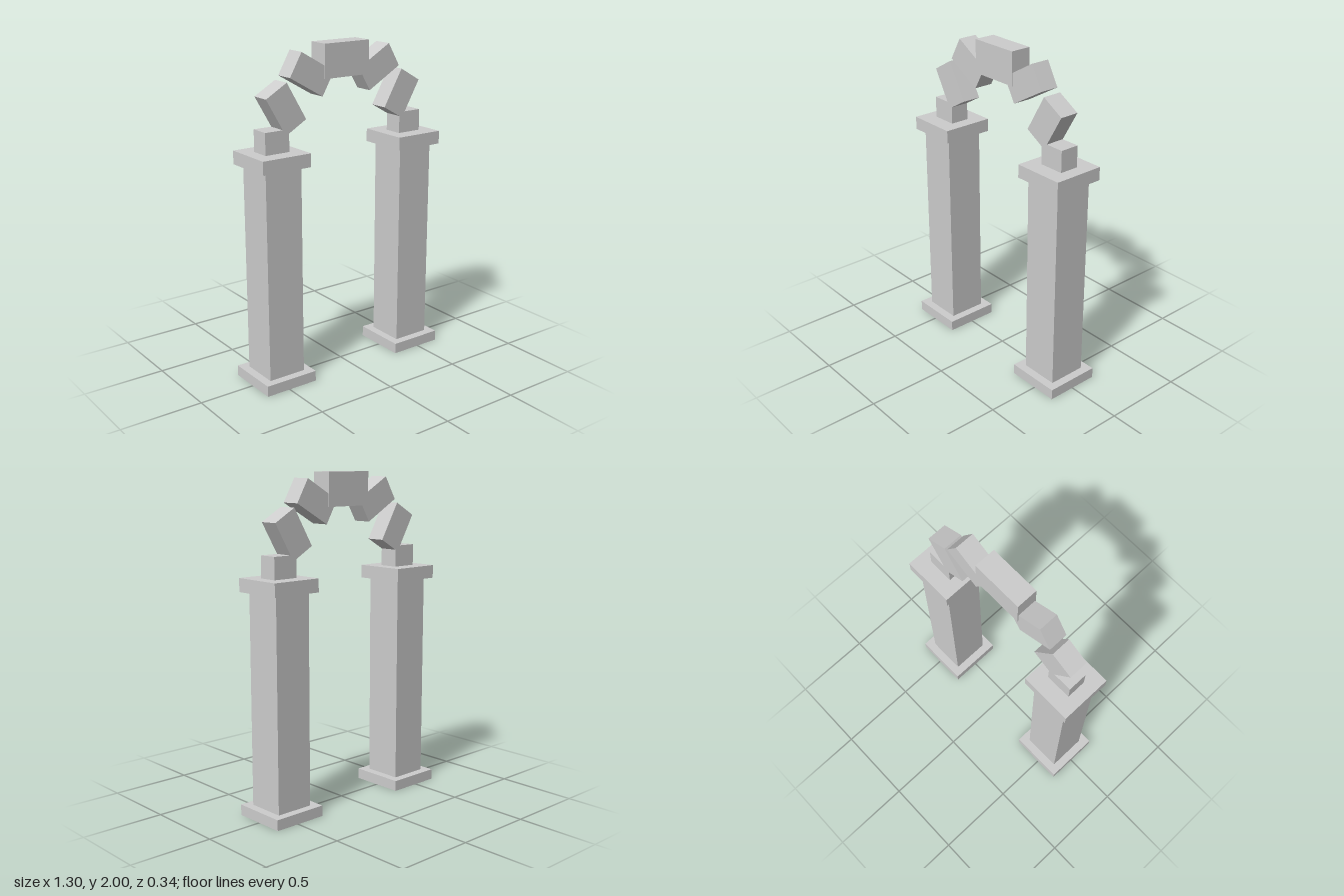
import * as THREE from 'three';

export function createModel() {
  const model = new THREE.Group();
  model.name = 'archway';
  const stone = new THREE.MeshStandardMaterial({ color: 0xcccccc, flatShading: true });

  // Stone block centred at (x, y), tilted in the plane of the arch
  function block(parent, name, [w, h, d], x, y, tilt = 0) {
    const mesh = new THREE.Mesh(new THREE.BoxGeometry(w, h, d), stone);
    mesh.name = name;
    mesh.position.set(x, y, 0);
    mesh.rotation.z = THREE.MathUtils.degToRad(tilt);
    parent.add(mesh);
  }

  for (const [side, s] of [['left', 1], ['right', -1]]) {
    // Square pillar, stacked from the ground up
    const pillar = new THREE.Group();
    pillar.name = side + 'Pillar';
    pillar.position.x = s * 0.482;
    let y = 0;
    for (const [name, width, height, depth] of [
      ['base', 0.34, 0.065, 0.34],
      ['shaft', 0.238, 1.267, 0.238],
      ['capital', 0.318, 0.08, 0.318],
      ['springerBlock', 0.159, 0.13, 0.119],
    ]) {
      block(pillar, name, [width, height, depth], 0, y + height / 2);
      y += height;
    }
    model.add(pillar);

    // Tilted arch stones
    block(model, side + 'LowerArchStone', [0.255, 0.159, 0.119], s * 0.418, 1.656, s * 60);
    block(model, side + 'UpperArchStone', [0.255, 0.159, 0.119], s * 0.241, 1.834, s * 30);
  }

  // Keystone at the crown
  block(model, 'keystone', [0.314, 0.2, 0.13], 0, 1.9);

  return model;
}
